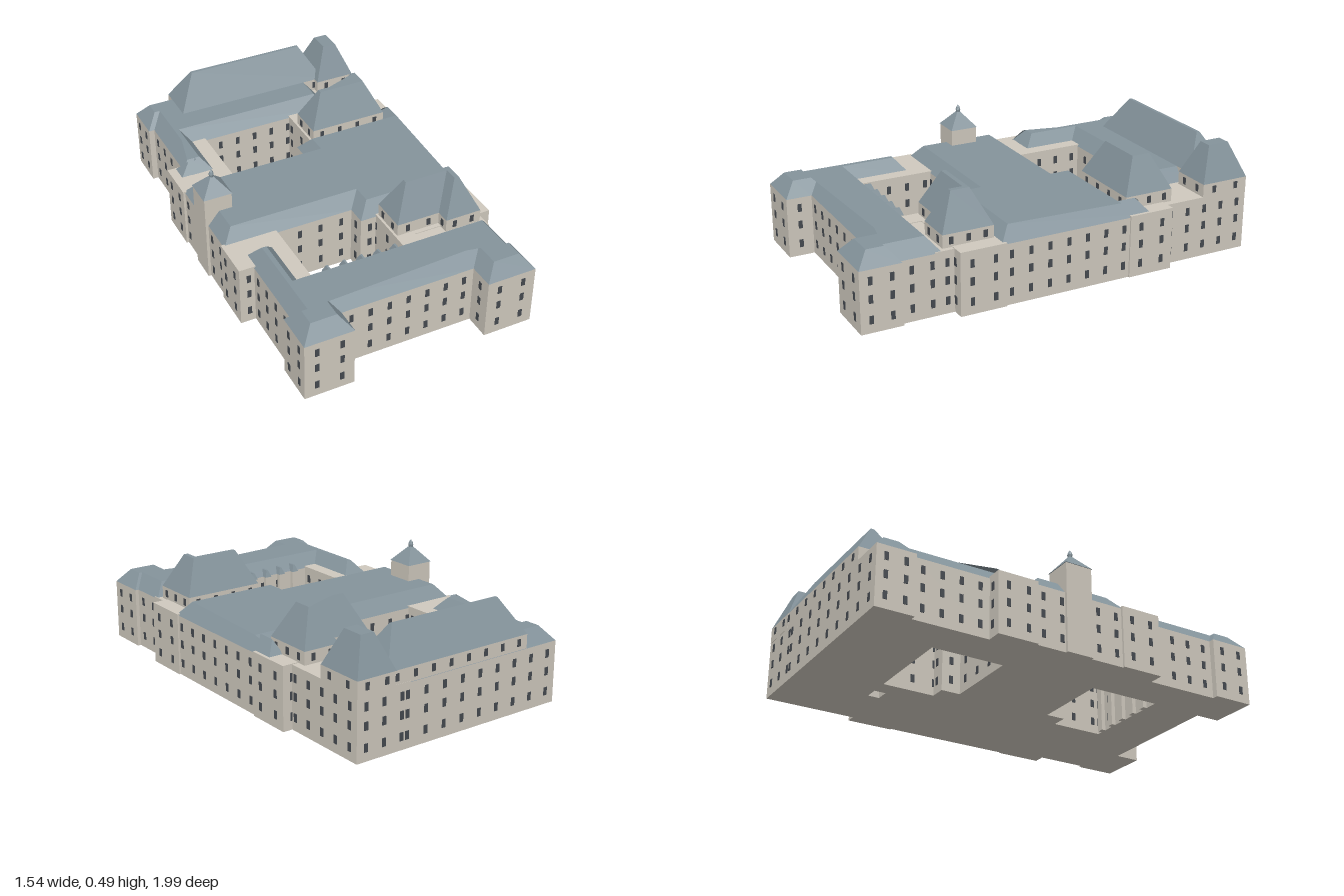
import * as THREE from 'three';
import { mergeGeometries } from 'three/addons/utils/BufferGeometryUtils.js';

const stone = new THREE.MeshStandardMaterial({ color: 0xcfc9be, flatShading: true });
const slate = new THREE.MeshStandardMaterial({ color: 0x84939b, flatShading: true });
const glass = new THREE.MeshStandardMaterial({ color: 0x454a50, flatShading: true });

const EAVES = 0.26, ROOF = 0.32, RIDGE = 0.465;

const rect = (x0, x1, z0, z1) => [[x0, z0], [x1, z0], [x1, z1], [x0, z1]];
const mirrorZ = (poly) => poly.map(([x, z]) => [x, -z]).reverse();

// Plan outlines always run the same way round, so the outside is on a known side
function oriented(poly) {
  const area = poly.reduce((s, [x, z], i) => {
    const [x2, z2] = poly[(i + 1) % poly.length];
    return s + x * z2 - x2 * z;
  }, 0);
  return area > 0 ? poly : [...poly].reverse();
}

// Mitred inset of a plan outline
function inset(poly, d) {
  const n = poly.length;
  const inward = (a, b) => {
    const l = Math.hypot(b[0] - a[0], b[1] - a[1]);
    return [-(b[1] - a[1]) / l, (b[0] - a[0]) / l];
  };
  return poly.map((p, i) => {
    const m = inward(poly[(i + n - 1) % n], p), k = inward(p, poly[(i + 1) % n]);
    const s = d / (1 + m[0] * k[0] + m[1] * k[1]);
    return [p[0] + (m[0] + k[0]) * s, p[1] + (m[1] + k[1]) * s];
  });
}

// Upright solid on a plan outline; its top outline may be drawn in to slope the sides
function prism(outline, y0, y1, slope = 0) {
  const poly = oriented(outline);
  const top = inset(poly, slope);
  const shape = new THREE.Shape(poly.map(([x, z]) => new THREE.Vector2(x, -z)));
  const geo = new THREE.ExtrudeGeometry(shape, { depth: y1 - y0, bevelEnabled: false });
  geo.rotateX(-Math.PI / 2).translate(0, y0, 0);
  const pos = geo.attributes.position;
  for (let i = 0; i < pos.count; i++) {
    if (pos.getY(i) < (y0 + y1) / 2) continue;
    const j = poly.findIndex(([x, z]) => Math.hypot(x - pos.getX(i), z - pos.getZ(i)) < 1e-4);
    pos.setX(i, top[j][0]);
    pos.setZ(i, top[j][1]);
  }
  geo.computeVertexNormals();
  return geo;
}

// Rows of windows along every wall of an outline
function windowRows(outline, rows, height) {
  const poly = oriented(outline), list = [];
  poly.forEach((a, i) => {
    const b = poly[(i + 1) % poly.length];
    const dx = b[0] - a[0], dz = b[1] - a[1], len = Math.hypot(dx, dz);
    if (len < 0.055) return;
    const n = Math.max(1, Math.round(len / 0.088));
    for (let k = 0; k < n; k++) {
      const t = (k + 0.5) / n;
      for (const y of rows) {
        list.push(new THREE.BoxGeometry(0.017, height, 0.005)
          .rotateY(-Math.atan2(dz, dx))
          .translate(a[0] + dx * t, y, a[1] + dz * t));
      }
    }
  });
  return mergeGeometries(list);
}

export function createModel() {
  const model = new THREE.Group();
  const palace = new THREE.Group();
  palace.name = 'palace';
  palace.rotation.y = -THREE.MathUtils.degToRad(20);
  model.add(palace);

  const add = (name, geo, mat) => {
    const mesh = new THREE.Mesh(geo, mat);
    mesh.name = name;
    palace.add(mesh);
  };
  const walls = (name, poly, top = EAVES) => {
    add(name + 'Walls', prism(poly, 0, top), stone);
    add(name + 'Windows', windowRows(poly, [0.055, 0.14, 0.215], 0.034), glass);
  };
  // Attic storey with a steep roof above
  const mansard = (name, poly, slope) => {
    add(name + 'Attic', prism(poly, EAVES - 0.01, ROOF), stone);
    add(name + 'AtticWindows', windowRows(poly, [0.293], 0.03), glass);
    add(name + 'Roof', prism(poly, ROOF, RIDGE, slope), slate);
  };

  // Three main ranges with low hipped roofs
  const ranges = {
    frontWing: [[-0.5, 0.875], [-0.29, 0.875], [-0.29, 0.765], [0.29, 0.765], [0.29, 0.875],
      [0.505, 0.875], [0.505, 0.7], [0.49, 0.7], [0.49, 0.53], [-0.355, 0.53], [-0.355, 0.295],
      [-0.475, 0.295], [-0.475, 0.7], [-0.5, 0.7]],
    mainBlock: [[-0.53, -0.215], [0.04, -0.215], [0.04, -0.3], [0.46, -0.3], [0.46, -0.38],
      [0.535, -0.38], [0.535, 0.3], [0.04, 0.3], [0.04, 0.215], [-0.53, 0.215]],
    backWing: [[-0.5, -0.875], [0.31, -0.875], [0.31, -0.53], [-0.355, -0.53], [-0.355, -0.295],
      [-0.51, -0.295], [-0.51, -0.38], [-0.475, -0.38], [-0.475, -0.71], [-0.5, -0.71]],
  };
  for (const [name, poly] of Object.entries(ranges)) {
    walls(name, poly);
    add(name + 'Roof', prism(poly, EAVES, ROOF, 0.05), slate);
  }

  // Flat-topped links and corridors, alike at front and back
  const links = {
    westLink: [[-0.54, 0.2], [-0.3, 0.2], [-0.3, 0.54], [-0.37, 0.54], [-0.37, 0.3],
      [-0.46, 0.3], [-0.46, 0.38], [-0.54, 0.38]],
    eastTerrace: rect(0.13, 0.542, 0.28, 0.48),
    courtCorridor: rect(0.11, 0.19, 0.25, 0.55),
  };
  for (const [name, poly] of Object.entries(links)) {
    walls(name + 'Front', poly, 0.268);
    walls(name + 'Back', mirrorZ(poly), 0.268);
  }
  walls('frontTerrace', rect(0.17, 0.49, 0.46, 0.56), 0.265);
  walls('backTerrace', rect(0.25, 0.5, -0.875, -0.46), 0.265);

  // Steep roofs: a pair of L-shaped ones, the long back one and its corner pavilion
  const ell = [[0.12, 0.3], [0.47, 0.3], [0.47, 0.52], [0.31, 0.52], [0.31, 0.46], [0.12, 0.46]];
  mansard('frontMansard', ell, 0.07);
  mansard('middleMansard', mirrorZ(ell), 0.07);
  mansard('backMansard', rect(-0.34, 0.36, -0.874, -0.69), 0.085);
  mansard('cornerPavilion', rect(0.32, 0.5, -0.876, -0.66), 0.06);

  // Small bays on the front courtyard wall
  for (let i = 0; i < 5; i++) {
    const x = -0.23 + i * 0.075;
    add('courtBay', prism(rect(x - 0.014, x + 0.014, 0.512, 0.55), 0, EAVES), stone);
    add('courtBayRoof', prism(rect(x - 0.016, x + 0.016, 0.51, 0.58), EAVES, 0.29, 0.012), slate);
  }

  // Clock tower: square shaft, pyramid roof and finial
  const tx = -0.482, tz = -0.01;
  add('towerShaft', prism(rect(tx - 0.06, tx + 0.06, tz - 0.06, tz + 0.06), 0, 0.39), stone);
  add('towerRoof', prism(rect(tx - 0.063, tx + 0.063, tz - 0.063, tz + 0.063), 0.39, 0.458, 0.058), slate);
  const finial = [[0, 0.45], [0.008, 0.45], [0.011, 0.466], [0.007, 0.478], [0, 0.488]];
  add('towerFinial', new THREE.LatheGeometry(finial.map(([r, y]) => new THREE.Vector2(r, y)), 8)
    .translate(tx, 0, tz), slate);

  return model;
}
